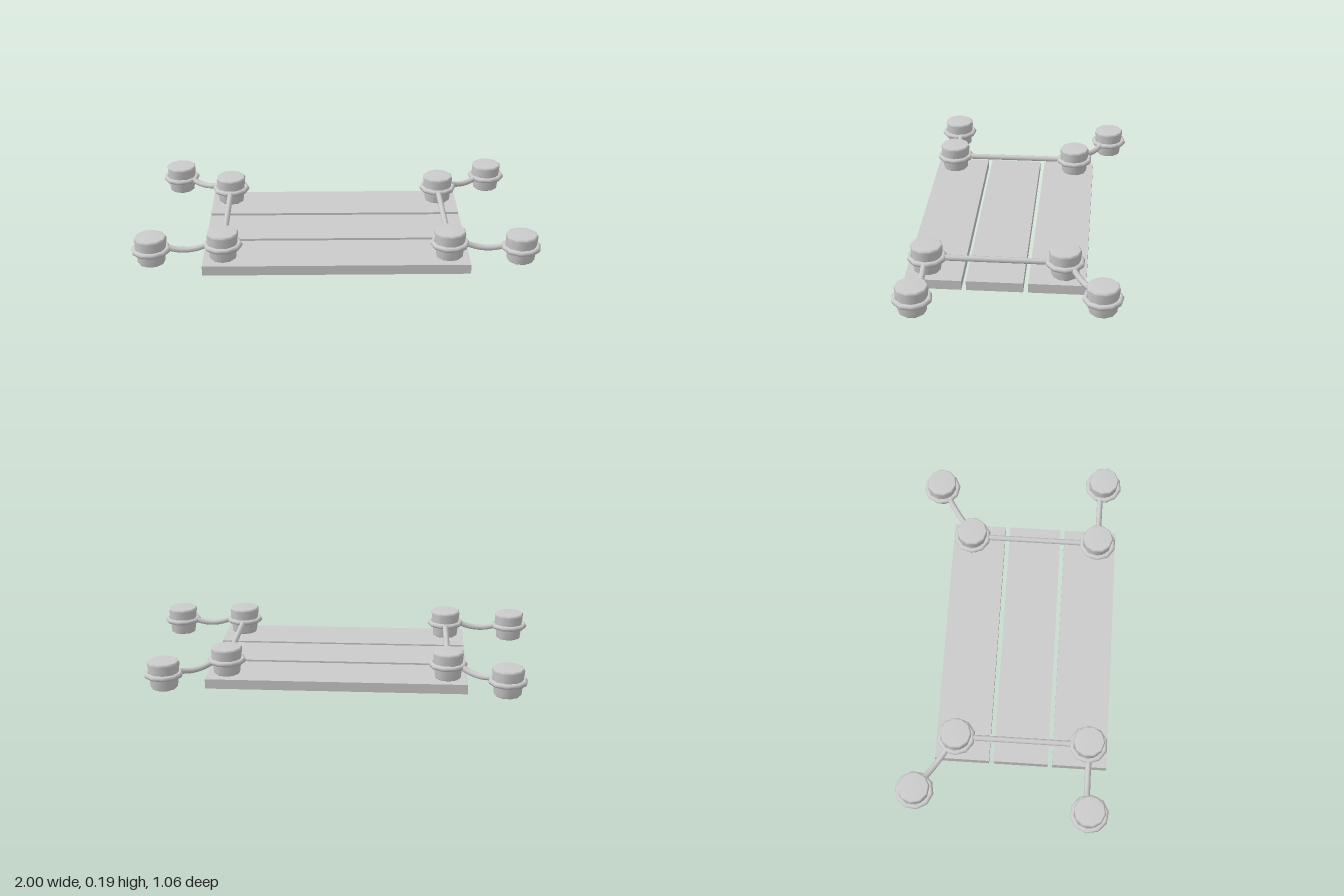
import * as THREE from 'three';

const material = new THREE.MeshStandardMaterial({ color: 0xcccccc });
const SIDES = 10;

function addMesh(parent, geometry, name) {
  const mesh = new THREE.Mesh(geometry, material);
  mesh.name = name;
  parent.add(mesh);
  return mesh;
}

// Tapered stump with softened rims
const postGeometry = new THREE.LatheGeometry([
  [0, 0], [0.06, 0], [0.067, 0.006], [0.073, 0.07],
  [0.079, 0.128], [0.077, 0.136], [0.071, 0.141], [0, 0.141],
].map(([r, y]) => new THREE.Vector2(r, y)), SIDES);

// Loop of rope tied around a stump
const loopGeometry = new THREE.TorusGeometry(0.083, 0.014, 8, SIDES).rotateX(Math.PI / 2);

function addPost(parent, name, x, y, z, turn) {
  const post = new THREE.Group();
  post.name = name;
  post.position.set(x, y, z);
  post.rotation.y = turn;
  addMesh(post, postGeometry, 'stump');
  addMesh(post, loopGeometry, 'ropeLoop').position.y = 0.071;
  parent.add(post);
}

// Rope between two stumps, hanging by the given sag
function addRope(parent, name, from, to, sag) {
  const a = new THREE.Vector3(...from), b = new THREE.Vector3(...to);
  const mid = a.clone().lerp(b, 0.5);
  mid.y -= sag * 2;
  const curve = new THREE.QuadraticBezierCurve3(a, mid, b);
  addMesh(parent, new THREE.TubeGeometry(curve, sag ? 8 : 1, 0.015, 8), name);
}

export function createModel() {
  const group = new THREE.Group();
  group.name = 'plankBridge';

  // Three planks side by side
  [0.373, 0.077, -0.221].forEach((z, i) => {
    addMesh(group, new THREE.BoxGeometry(1.304, 0.049, 0.274), `plank${i + 1}`)
      .position.set(0, 0.0245, z);
  });

  // Posts and ropes, mirrored to both ends
  for (const [s, side] of [[1, 'left'], [-1, 'right']]) {
    const x = s * 0.554;
    addPost(group, `${side}FrontPost`, x, 0.049, 0.412, 0);
    addPost(group, `${side}BackPost`, x, 0.049, -0.255, 0);
    addPost(group, `${side}FrontOuterPost`, s * 0.902, 0.035, 0.431, s * 0.12);
    addPost(group, `${side}BackOuterPost`, s * 0.838, 0.035, -0.441, s * 0.45);

    addRope(group, `${side}Handrail`, [x, 0.117, 0.33], [x, 0.117, -0.173], 0);
    addRope(group, `${side}FrontRope`, [s * 0.636, 0.118, 0.415], [s * 0.82, 0.106, 0.416], 0.018);
    addRope(group, `${side}BackRope`, [s * 0.625, 0.118, -0.3], [s * 0.768, 0.106, -0.394], 0.016);
  }
  return group;
}
